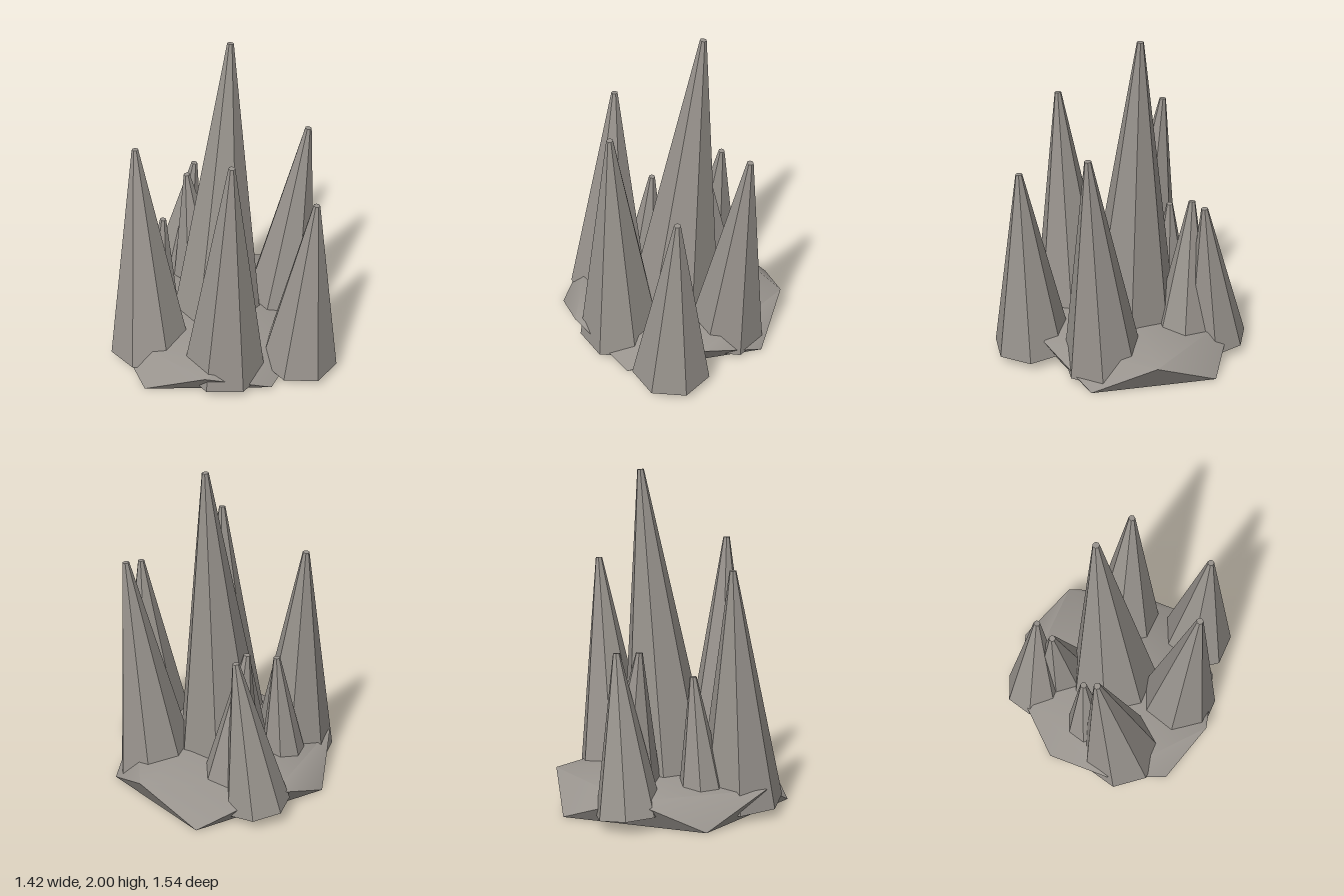
import * as THREE from 'three';
import { toCreasedNormals } from 'three/addons/utils/BufferGeometryUtils.js';

const BASE_Y = 0.06;
const UP = new THREE.Vector3(0, 1, 0);

// Leaning seven-sided spike: base centre, base radius, tip position
function makeSpike([cx, cz, radius, tx, ty, tz], material) {
  const foot = new THREE.Vector3(cx, BASE_Y, cz);
  const axis = new THREE.Vector3(tx, ty, tz).sub(foot);
  const height = axis.length();
  const geometry = new THREE.CylinderGeometry(0.02, radius, height, 7);
  geometry.rotateY(Math.PI).translate(0, height / 2, 0);
  const spike = new THREE.Mesh(toCreasedNormals(geometry, 0.3), material);
  spike.quaternion.setFromUnitVectors(UP, axis.normalize());
  spike.position.copy(foot);
  return spike;
}

// Flat-bottomed rock slab: two staggered pentagons and a low peak
function makeRock(material) {
  const lower = [[0.595, 0.295], [-0.23, 0.54], [-0.71, -0.075], [-0.23, -0.69], [0.615, -0.465]];
  const upper = [[0.708, -0.077], [0.22, 0.525], [-0.577, 0.29], [-0.57, -0.44], [0.2, -0.69]];
  const points = [];
  for (const [x, z] of lower) points.push(x, 0, z);
  for (const [x, z] of upper) points.push(x, 0.18, z);
  points.push(0, 0.25, -0.07, 0, 0, -0.07);
  const faces = [];
  for (let i = 0; i < 5; i++) {
    const n = (i + 1) % 5;
    faces.push(10, 5 + n, 5 + i); // shallow dome
    faces.push(5 + i, 5 + n, i); // sloping rim
    faces.push(i, 5 + n, n); // undercut
    faces.push(11, i, n); // underside
  }
  const geometry = new THREE.BufferGeometry();
  geometry.setAttribute('position', new THREE.Float32BufferAttribute(points, 3));
  geometry.setIndex(faces);
  return new THREE.Mesh(toCreasedNormals(geometry, 0.96), material);
}

export function createModel() {
  const stone = new THREE.MeshStandardMaterial({ color: 0x99948e });
  stone.name = 'warm grey stone';
  const model = new THREE.Group();
  model.name = 'stoneSpikes';

  const rock = makeRock(stone);
  rock.name = 'baseRock';
  model.add(rock);

  // [base x, base z, base radius, tip x, tip y, tip z]
  const spikes = {
    mainSpike: [0.02, -0.08, 0.3, 0.18, 2.0, -0.09],
    frontSpike: [0.043, 0.55, 0.242, 0.08, 1.22, 0.607],
    frontRightSpike: [-0.297, 0.222, 0.26, -0.32, 1.56, 0.295],
    frontLeftSpike: [0.358, 0.17, 0.246, 0.47, 1.43, 0.277],
    backRightSpike: [-0.42, -0.26, 0.257, -0.363, 1.45, -0.372],
    smallBackSpike: [-0.2, -0.39, 0.155, -0.14, 0.83, -0.367],
    rearSpike: [0.22, -0.57, 0.2, 0.295, 0.985, -0.46],
    backLeftSpike: [0.23, -0.363, 0.2, 0.167, 0.98, -0.42],
  };
  for (const [name, spec] of Object.entries(spikes)) {
    const spike = makeSpike(spec, stone);
    spike.name = name;
    model.add(spike);
  }
  return model;
}
